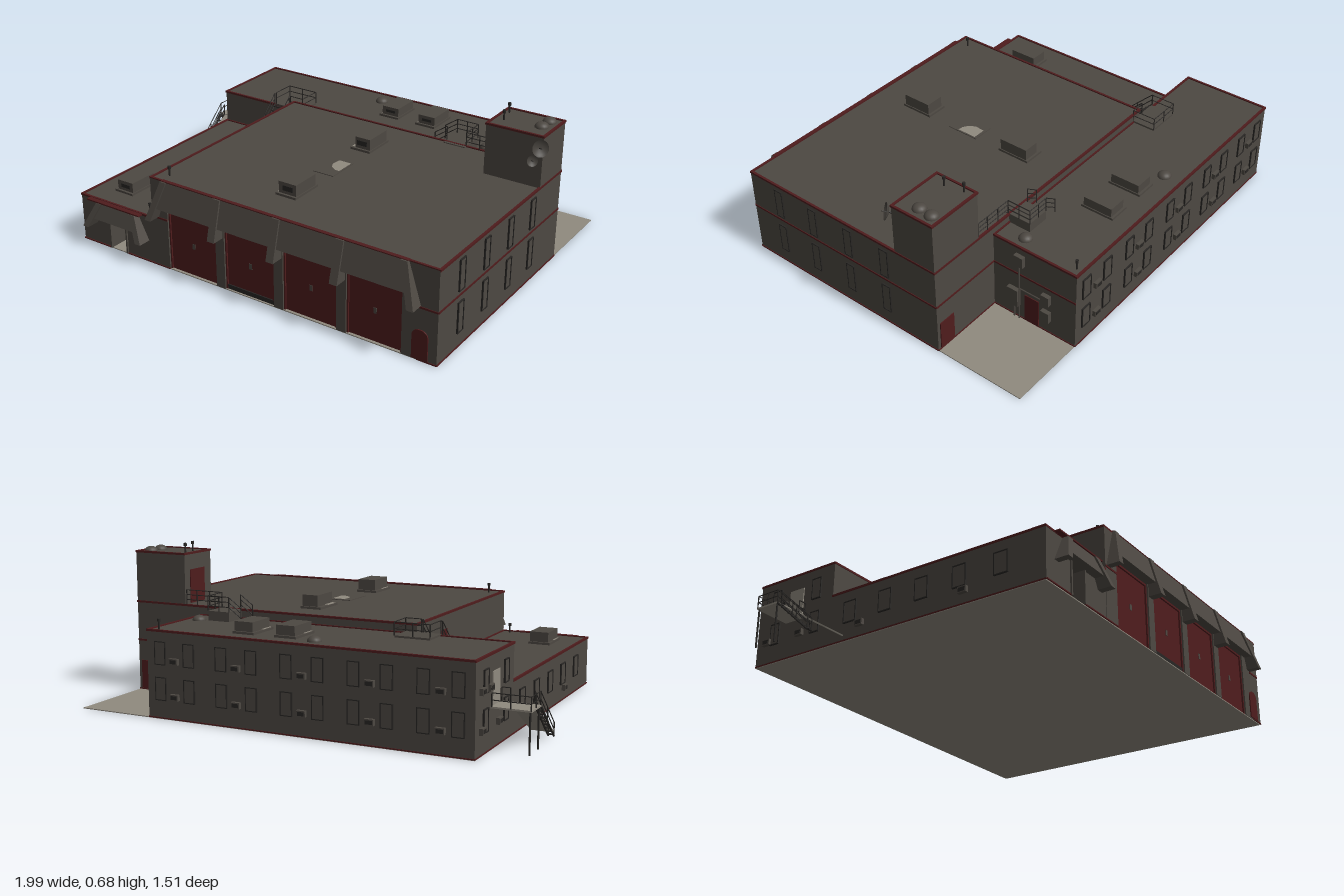
import * as THREE from 'three';

const mat = (name, color) => Object.assign(new THREE.MeshStandardMaterial({ color }), { name });

export function createModel() {
  const root = new THREE.Group();
  root.name = 'station';
  const wall = mat('wall grey', 0x4d4842), red = mat('dark red', 0x4f1c1d), pale = mat('pale concrete', 0x908a7f);
  const metal = mat('dark metal', 0x282624);

  const add = (name, geo, m, parent = root) => {
    const mesh = new THREE.Mesh(geo, m);
    mesh.name = name;
    parent.add(mesh);
    return mesh;
  };
  const box = (name, m, x0, x1, y0, y1, z0, z1, parent) => {
    const mesh = add(name, new THREE.BoxGeometry(x1 - x0, y1 - y0, z1 - z0), m, parent);
    mesh.position.set((x0 + x1) / 2, (y0 + y1) / 2, (z0 + z1) / 2);
    return mesh;
  };
  const bar = (name, a, b, r = 0.0025, m = metal, parent = root) => {
    const p = new THREE.Vector3(...a), d = new THREE.Vector3(...b).sub(p), len = d.length();
    const mesh = add(name, new THREE.CylinderGeometry(r, r, len, 6), m, parent);
    mesh.position.copy(p).addScaledVector(d, 0.5);
    mesh.quaternion.setFromUnitVectors(new THREE.Vector3(0, 1, 0), d.normalize());
    return mesh;
  };
  // Handrail: posts on each point and evenly spaced bars
  const rail = (name, pts, h = 0.055, levels = [0.5, 1]) => {
    const g = new THREE.Group();
    g.name = name;
    root.add(g);
    const up = (p, k) => [p[0], p[1] + h * k, p[2]];
    pts.forEach((p, i) => {
      bar('post', p, up(p, 1), 0.0025, metal, g);
      if (i) levels.forEach(k => bar('railBar', up(pts[i - 1], k), up(p, k), 0.002, metal, g));
    });
  };
  // Coloured edging around a flat roof
  const rim = (x0, x1, z0, z1, y) => {
    const e = 0.007, o = 0.003;
    [[x0 - o, x1 + o, z0 - o, z0 + e], [x0 - o, x1 + o, z1 - e, z1 + o], [x0 - o, x0 + e, z0, z1], [x1 - e, x1 + o, z0, z1]]
      .forEach(([a, b, c, d]) => box('roofEdge', red, a, b, y - 0.004, y + 0.005, c, d));
  };
  // Group facing out of a wall: turn 0 front, 1 left side, 2 back, 3 right side
  const onWall = (name, x, y, z, turn) => {
    const g = new THREE.Group();
    g.name = name;
    g.position.set(x, y, z);
    g.rotation.y = turn * Math.PI / 2;
    root.add(g);
    return g;
  };
  const windowAt = (x, y, z, turn, w, h) => {
    const g = onWall('window', x, y, z, turn), t = 0.004;
    box('pane', wall, -w / 2, w / 2, -h / 2, h / 2, 0, 0.004, g);
    for (const s of [-1, 1]) {
      box('frameSide', metal, s * w / 2 - t / 2, s * w / 2 + t / 2, -h / 2, h / 2, 0, 0.007, g);
      box('frameEnd', metal, -w / 2 - t / 2, w / 2 + t / 2, s * h / 2 - t / 2, s * h / 2 + t / 2, 0, 0.007, g);
    }
  };
  const doorAt = (x, y0, z, turn, w, h, m) => {
    const g = onWall('door', x, y0, z, turn);
    box('leaf', m, -w / 2, w / 2, 0, h, 0, 0.004, g);
  };
  const coolerAt = (x, y, z, turn) => {
    const g = onWall('wallCooler', x, y, z, turn);
    box('coolerCase', wall, -0.02, 0.02, -0.013, 0.013, 0, 0.015, g);
    box('coolerGrille', metal, -0.015, 0.015, -0.008, 0.008, 0.015, 0.016, g);
  };

  // Ground slab under the whole building and the back yard
  box('groundSlab', pale, -0.835, 0.963, 0, 0.004, -0.738, 0.694);

  // Main volumes
  const g0 = 0.004;
  box('hall', wall, -0.42, 0.965, g0, 0.41, -0.33, 0.675);
  box('lowWing', wall, -0.835, -0.42, g0, 0.22, -0.33, 0.53);
  box('backBlock', wall, -0.835, 0.615, g0, 0.372, -0.74, -0.33);
  box('tower', wall, 0.705, 0.965, 0.41, 0.637, -0.33, -0.125);
  rim(-0.42, 0.965, -0.33, 0.694, 0.41);
  rim(-0.835, -0.42, -0.33, 0.694, 0.22);
  rim(-0.835, 0.615, -0.74, -0.33, 0.372);
  rim(0.705, 0.965, -0.33, -0.125, 0.637);

  // Open entrance in the low wing, with the slab as its floor
  box('entranceSide', wall, -0.835, -0.67, g0, 0.22, 0.53, 0.695);
  box('entranceSide', wall, -0.58, -0.42, g0, 0.22, 0.53, 0.695);
  box('entranceTop', wall, -0.67, -0.58, 0.145, 0.22, 0.53, 0.695);
  box('entrancePanel', metal, -0.65, -0.6, 0.08, 0.14, 0.53, 0.536);
  for (const x of [-0.672, -0.578]) box('entranceFrame', wall, x - 0.004, x + 0.004, g0, 0.147, 0.695, 0.702);

  // Hall front: lintel, piers and four red gates
  const gates = [[-0.335, -0.08], [-0.035, 0.215], [0.26, 0.515], [0.56, 0.81]];
  box('lintel', wall, -0.42, 0.965, 0.295, 0.41, 0.675, 0.697);
  [-0.42, ...gates.map(g => g[1])].forEach((x, i) => box('pier', wall, x, i < 4 ? gates[i][0] : 0.965, g0, 0.295, 0.675, 0.697));
  gates.forEach(([a, b]) => {
    box('gate', red, a, b, 0.005, 0.295, 0.675, 0.683);
    for (const x of [a, b - 0.007]) box('gateFrameSide', red, x, x + 0.007, 0.005, 0.295, 0.683, 0.69);
    box('gateFrameTop', red, a, b, 0.286, 0.295, 0.683, 0.69);
    box('gateHatch', wall, (a + b) / 2 - 0.007, (a + b) / 2 + 0.007, 0.13, 0.155, 0.683, 0.685);
  });
  box('gateFoot', metal, -0.035, 0.215, 0.005, 0.025, 0.683, 0.688);
  const arch = new THREE.Shape();
  arch.moveTo(-0.035, 0).lineTo(0.035, 0).lineTo(0.035, 0.1);
  arch.absarc(0.005, 0.1, 0.03, 0, Math.PI / 2).lineTo(-0.005, 0.13);
  arch.absarc(-0.005, 0.1, 0.03, Math.PI / 2, Math.PI);
  add('sideDoor', new THREE.ExtrudeGeometry(arch, { depth: 0.005, bevelEnabled: false }), red).position.set(0.892, 0.008, 0.697);

  // Sloping canopies with brackets; ends lean outward towards the bottom
  const sloped = (name, profile, x0, x1, leanL, leanR) => {
    const shape = new THREE.Shape(profile.map(p => new THREE.Vector2(...p)));
    const geo = new THREE.ExtrudeGeometry(shape, { depth: x1 - x0, bevelEnabled: false });
    geo.rotateY(-Math.PI / 2).translate(x1, 0, 0);
    const p = geo.attributes.position, top = profile[0][1], mid = (x0 + x1) / 2;
    for (let i = 0; i < p.count; i++) p.setX(i, p.getX(i) + (p.getX(i) < mid ? leanL : leanR) * (top - p.getY(i)));
    geo.computeVertexNormals();
    add(name, geo, wall);
  };
  const canopy = (x0, x1, lean, top, low, foot, zTop, brackets) => {
    const zAt = y => zTop + (0.755 - zTop) * (top - y) / (top - foot);
    const profile = y => [[0.69, top], [0.69, y], [zAt(y), y], [zTop, top]];
    sloped('canopy', profile(low).map(([z, y]) => [z === 0.69 ? z : z - 0.008, y]), x0, x1, -lean, lean);
    brackets.forEach(x => sloped('bracket', profile(foot), x - 0.018, x + 0.018, 0, 0));
    sloped('endBracket', profile(foot), x0, x0 + 0.03, -lean, -lean);
    sloped('endBracket', profile(foot), x1 - 0.03, x1, lean, lean);
  };
  canopy(-0.355, 0.835, 0.32, 0.414, 0.295, 0.24, 0.71, [-0.058, 0.238, 0.538]);
  canopy(-0.725, -0.505, 0.5, 0.217, 0.145, 0.105, 0.722, []);
  box('canopyLip', red, -0.355, 0.835, 0.413, 0.417, 0.687, 0.704);
  box('entryLip', red, -0.78, -0.48, 0.217, 0.223, 0.69, 0.72);

  // Red bands at mid height and at the base
  const bands = (y, h) => {
    box('band', red, 0.965, 0.968, y, y + h, -0.33, 0.697);
    box('band', red, 0.615, 0.618, y, y + h, -0.74, -0.33);
    box('band', red, 0.615, 0.965, y, y + h, -0.333, -0.33);
    box('band', red, 0.88, 0.965, y, y + h, 0.697, 0.7);
  };
  bands(0.23, 0.008);
  bands(0.003, 0.006);
  box('band', red, -0.42, -0.335, 0.23, 0.238, 0.697, 0.7);
  for (const [a, b] of [[-0.835, -0.67], [-0.58, -0.335]]) box('baseBand', red, a, b, 0.003, 0.008, 0.695, 0.7);
  box('baseBand', red, -0.838, -0.835, 0.003, 0.008, -0.74, 0.695);
  box('baseBand', red, -0.835, 0.615, 0.003, 0.008, -0.743, -0.74);

  // Windows and wall coolers
  for (const z of [0.53, 0.333, 0.133, -0.065]) for (const y of [0.138, 0.322]) windowAt(0.965, y, z, 1, 0.04, 0.132);
  for (const x of [-0.7, -0.41, -0.115, 0.185, 0.48]) for (const y of [0.1, 0.25]) {
    for (const s of [-0.07, 0.07]) windowAt(x + s, y + 0.03, -0.74, 2, 0.05, 0.095);
    coolerAt(x, y, -0.74, 2);
  }
  for (const z of [-0.23, -0.05, 0.13, 0.31, 0.5]) windowAt(-0.835, 0.125, z, 3, 0.06, 0.09);
  for (const z of [-0.175, 0.33]) coolerAt(-0.835, 0.06, z, 3);
  for (const [y, z] of [[0.25, -0.68], [0.1, -0.68], [0.25, -0.6], [0.1, -0.5]]) coolerAt(-0.835, y, z, 3);
  for (const z of [-0.64, -0.42]) for (const y of [0.13, 0.28]) windowAt(-0.835, y, z, 3, 0.045, 0.09);

  // Doors in the other walls
  doorAt(-0.835, 0.173, -0.53, 3, 0.075, 0.13, pale);
  doorAt(0.615, 0.01, -0.525, 1, 0.07, 0.13, red);
  doorAt(0.91, 0.01, -0.33, 2, 0.08, 0.13, red);
  doorAt(0.705, 0.415, -0.235, 3, 0.11, 0.15, red);
  doorAt(-0.42, 0.225, -0.05, 3, 0.07, 0.12, red);

  // Service boxes and pipes beside the yard
  for (const [z0, z1, y0, y1] of [[-0.465, -0.41, 0.07, 0.155], [-0.49, -0.445, 0.29, 0.34], [-0.62, -0.58, 0.07, 0.12], [-0.62, -0.58, 0.16, 0.205]])
    box('serviceBox', wall, 0.615, 0.635, y0, y1, z0, z1);
  bar('pipe', [0.622, 0.004, -0.465], [0.622, 0.3, -0.465], 0.004, wall);
  bar('pipe', [0.622, 0.004, -0.44], [0.622, 0.08, -0.44], 0.004, wall);
  bar('pipe', [0.622, 0.165, -0.6], [0.622, 0.165, -0.465], 0.003, wall);

  // Roof machines with a pale tray strip along one side
  const roofUnit = (x, y, z, h, strip) => {
    const g = new THREE.Group();
    g.name = 'roofUnit';
    g.position.set(x, y, z);
    root.add(g);
    box('unitBase', wall, -0.05, 0.05, 0, 0.01, -0.078, 0.078, g);
    box('unitCase', wall, -0.046 + strip, 0.046, 0.01, h, -0.068, 0.068, g);
    box('unitGrille', metal, -0.02, 0.03, 0.024, h - 0.014, 0.068, 0.07, g);
    box('unitTray', pale, -0.046, -0.046 + strip, 0.01, 0.012, 0, 0.068, g);
  };
  [[0.155, 0.41, -0.1, 0.06, 0.017], [0.155, 0.41, 0.45, 0.06, 0.006], [0.01, 0.372, -0.575, 0.05, 0.006],
    [0.205, 0.372, -0.575, 0.05, 0.007], [-0.685, 0.22, 0.51, 0.055, 0.006]].forEach(u => roofUnit(...u));

  // Roof hatch with a broken pale opening
  box('hatchFrame', wall, 0.105, 0.205, 0.41, 0.413, 0.105, 0.26);
  const opening = new THREE.Shape([[0.2, -0.115], [0.2, -0.208], [0.175, -0.205], [0.15, -0.188], [0.136, -0.16], [0.14, -0.115]]
    .map(p => new THREE.Vector2(...p)).reverse());
  add('hatchOpening', new THREE.ShapeGeometry(opening).rotateX(-Math.PI / 2), pale).position.y = 0.415;

  // Domes and masts
  const domeGeo = new THREE.SphereGeometry(0.03, 16, 8, 0, Math.PI * 2, 0, Math.PI / 2).scale(1, 0.75, 1);
  for (const [x, y, z] of [[-0.125, 0.372, -0.655], [0.555, 0.372, -0.445], [0.915, 0.637, -0.285], [0.91, 0.637, -0.22]])
    add('roofDome', domeGeo, wall).position.set(x, y, z);
  for (const [x, y, z] of [[0.73, 0.637, -0.285], [0.748, 0.637, -0.2], [-0.365, 0.41, 0.635], [0.575, 0.372, -0.71], [-0.465, 0.22, 0.66]]) {
    bar('mast', [x, y, z], [x, y + 0.04, z], 0.004);
    bar('mastCap', [x, y + 0.032, z], [x, y + 0.045, z], 0.007);
  }

  // Dishes on the tower
  const dishGrey = mat('dish grey', 0x45413c);
  dishGrey.side = THREE.DoubleSide;
  const bowl = new THREE.LatheGeometry([[0, 0], [0.4, 0.06], [0.75, 0.2], [1, 0.4]].map(p => new THREE.Vector2(...p)), 18);
  for (const [x, y, z, r] of [[0.957, 0.595, -0.105, 0.036], [0.925, 0.53, -0.11, 0.024]]) {
    const dish = add('dish', bowl, dishGrey);
    dish.scale.setScalar(r);
    dish.position.set(x, y, z);
    dish.quaternion.setFromUnitVectors(new THREE.Vector3(0, 1, 0), new THREE.Vector3(0.7, 0.25, 0.65).normalize());
    bar('dishArm', [x - 0.01, y - 0.01, -0.126], [x, y, z], 0.004);
    bar('dishHorn', [x, y, z], [x + r * 0.55, y + r * 0.2, z + r * 0.5], 0.002);
  }

  // Straight stair running along z, from a high end to a low end
  const stair = (name, x0, x1, yTop, yLow, zTop, zLow, n) => {
    for (let i = 0; i < n; i++) {
      const k = (i + 0.5) / n, y = yTop + (yLow - yTop) * k, z = zTop + (zLow - zTop) * k;
      box(name + 'Tread', metal, x0, x1, y - 0.002, y + 0.002, z - 0.006, z + 0.006);
    }
    for (const x of [x0, x1]) {
      bar(name + 'Stringer', [x, yTop, zTop], [x, yLow, zLow], 0.004);
      rail(name + 'Rail', [[x, yTop, zTop], [x, (yTop + yLow) / 2, (zTop + zLow) / 2], [x, yLow, zLow]]);
    }
  };

  // Roof stair from the low wing to the back block
  box('roofLanding', wall, -0.525, -0.37, 0.372, 0.38, -0.44, -0.325);
  stair('roofStair', -0.53, -0.445, 0.378, 0.225, -0.325, -0.17, 9);
  rail('roofLandingRail', [[-0.525, 0.38, -0.33], [-0.525, 0.38, -0.44], [-0.45, 0.38, -0.44], [-0.37, 0.38, -0.44], [-0.37, 0.38, -0.33], [-0.44, 0.38, -0.33]]);

  // Raised walkway from the back block to the hall roof
  const three = [0.33, 0.67, 1];
  box('walkway', wall, 0.41, 0.515, 0.372, 0.414, -0.435, -0.31);
  rail('walkwayRail', [[0.35, 0.372, -0.435], [0.41, 0.414, -0.435], [0.46, 0.414, -0.435], [0.515, 0.414, -0.435], [0.515, 0.414, -0.38],
    [0.515, 0.414, -0.325], [0.58, 0.414, -0.325], [0.645, 0.414, -0.325], [0.7, 0.414, -0.325]], 0.065, three);
  rail('walkwayRail', [[0.35, 0.372, -0.34], [0.41, 0.414, -0.34]], 0.065, three);

  // Outside stair on the right-hand end
  box('landing', pale, -0.998, -0.835, 0.165, 0.172, -0.585, -0.475);
  const slab = box('stairSlab', pale, -0.972, -0.875, -0.003, 0.003, -0.15, 0.15);
  slab.position.set(-0.923, 0.085, -0.35);
  slab.rotation.x = Math.atan2(0.16, 0.25);
  stair('outsideStair', -0.995, -0.972, 0.168, 0.008, -0.475, -0.3, 9);
  rail('landingRail', [[-0.84, 0.17, -0.585], [-0.915, 0.17, -0.585], [-0.995, 0.17, -0.585], [-0.995, 0.17, -0.53], [-0.995, 0.17, -0.475]]);
  rail('landingRail', [[-0.875, 0.17, -0.475], [-0.84, 0.17, -0.475]]);
  for (const z of [-0.58, -0.48]) bar('landingLeg', [-0.99, 0, z], [-0.99, 0.166, z], 0.004);
  return root;
}
